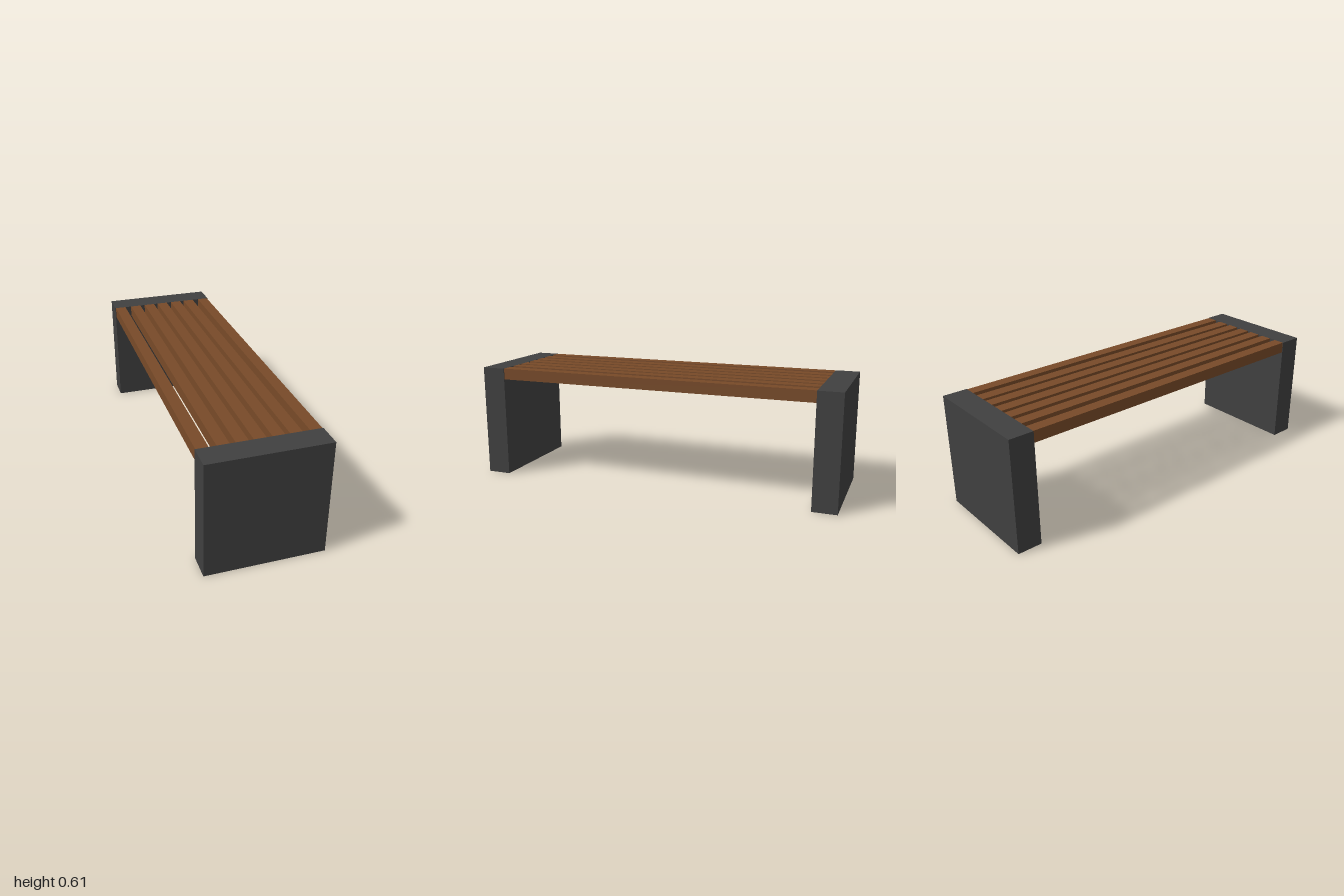
import * as THREE from 'three';

export function createModel() {
  const group = new THREE.Group();
  group.name = 'bench';
  const stone = new THREE.MeshStandardMaterial({ color: 0x404040 });
  const wood = new THREE.MeshStandardMaterial({ color: 0x784a28 });

  const addBox = (name, size, position, material) => {
    const mesh = new THREE.Mesh(new THREE.BoxGeometry(...size), material);
    mesh.position.set(...position);
    mesh.name = name;
    group.add(mesh);
  };

  const height = 0.611, legDepth = 0.13, slat = 0.061;

  // Solid end blocks
  for (const side of [1, -1]) {
    addBox(side > 0 ? 'frontLeg' : 'backLeg', [0.611, height, legDepth],
      [0, height / 2, side * (1 - legDepth / 2)], stone);
  }

  // Square seat slats running between the blocks, flush with their tops
  const slatX = [-0.272, -0.175, -0.086, -0.001, 0.088, 0.173, 0.27];
  slatX.forEach((x, i) => {
    addBox(`seatSlat${i + 1}`, [slat, slat, 2 - 2 * legDepth],
      [x, height - slat / 2, 0], wood);
  });

  return group;
}
